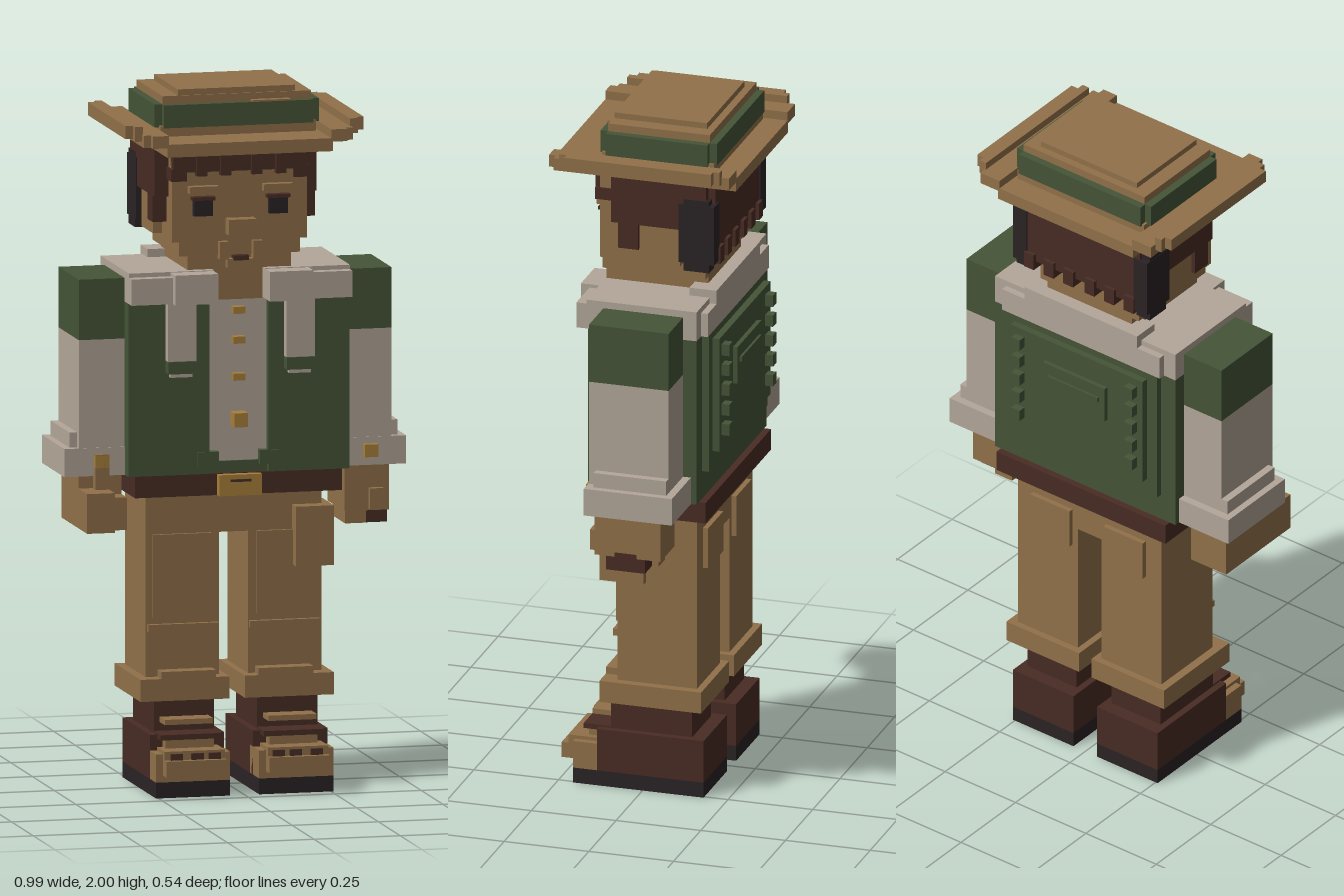
import * as THREE from 'three';

const mat = (name, color) => {
  const m = new THREE.MeshStandardMaterial({ color });
  m.name = name;
  return m;
};

export function createModel() {
  const tan = mat('tan', 0x91714a), green = mat('green', 0x455437), cream = mat('cream', 0xb3a799);
  const brown = mat('brown', 0x492c24), black = mat('black', 0x2a2325), gold = mat('gold', 0xa8803a);
  const root = new THREE.Group();
  root.name = 'figure';

  const part = (name) => {
    const g = new THREE.Group();
    g.name = name;
    root.add(g);
    return g;
  };
  // Block given by its limits on each axis
  const box = (g, name, m, x0, x1, y0, y1, z0, z1) => {
    const b = new THREE.Mesh(new THREE.BoxGeometry(x1 - x0, y1 - y0, z1 - z0), m);
    b.position.set((x0 + x1) / 2, (y0 + y1) / 2, (z0 + z1) / 2);
    b.name = name;
    g.add(b);
  };
  // Block centred on x
  const mid = (g, name, m, w, ...r) => box(g, name, m, -w, w, ...r);
  // Block and its mirror image
  const pair = (g, name, m, x0, x1, ...r) => {
    box(g, name + 'Left', m, x0, x1, ...r);
    box(g, name + 'Right', m, -x1, -x0, ...r);
  };

  // Boots
  const boots = part('boots');
  pair(boots, 'sole', black, 0.042, 0.257, 0, 0.045, -0.18, 0.205);
  pair(boots, 'boot', brown, 0.042, 0.257, 0.045, 0.17, -0.18, 0.135);
  pair(boots, 'shaft', brown, 0.062, 0.237, 0.17, 0.265, -0.14, 0.1);
  pair(boots, 'toe', tan, 0.042, 0.257, 0.045, 0.125, 0.1, 0.205);
  pair(boots, 'toeCap', tan, 0.062, 0.237, 0.065, 0.11, 0.205, 0.245);
  pair(boots, 'toeTop', tan, 0.062, 0.237, 0.105, 0.135, 0.12, 0.225);
  pair(boots, 'tongue', tan, 0.08, 0.22, 0.125, 0.17, 0.13, 0.17);
  pair(boots, 'tongueStrap', brown, 0.062, 0.237, 0.16, 0.175, 0.08, 0.18);
  pair(boots, 'lace', tan, 0.08, 0.22, 0.2, 0.215, 0.09, 0.16);
  for (const x of [0.075, 0.125, 0.185]) pair(boots, 'eyelet', brown, x, x + 0.035, 0.108, 0.128, 0.2, 0.23);

  // Trousers
  const trousers = part('trousers');
  pair(trousers, 'cuff', tan, 0.022, 0.28, 0.262, 0.325, -0.18, 0.12);
  pair(trousers, 'cuffTop', tan, 0.062, 0.22, 0.325, 0.345, 0.06, 0.12);
  pair(trousers, 'leg', tan, 0.042, 0.255, 0.32, 0.735, -0.16, 0.075);
  pair(trousers, 'kneePanel', tan, 0.065, 0.235, 0.495, 0.73, 0.07, 0.085);
  pair(trousers, 'kneeSeam', tan, 0.045, 0.25, 0.455, 0.475, 0.07, 0.09);
  mid(trousers, 'hips', tan, 0.255, 0.73, 0.85, -0.16, 0.075);
  box(trousers, 'sidePocket', tan, 0.17, 0.28, 0.63, 0.8, -0.01, 0.12);
  pair(trousers, 'backPocket', tan, 0.06, 0.2, 0.67, 0.79, -0.175, -0.15);
  const belt = part('belt');
  mid(belt, 'strap', brown, 0.3, 0.845, 0.907, -0.2, 0.135);
  mid(belt, 'buckle', gold, 0.062, 0.845, 0.905, 0.13, 0.16);
  mid(belt, 'buckleCentre', brown, 0.03, 0.885, 0.892, 0.158, 0.165);

  // Shirt and vest
  const torso = part('torso');
  mid(torso, 'shirt', cream, 0.3, 0.92, 1.4, -0.16, 0.12);
  pair(torso, 'vestFront', green, 0.085, 0.32, 0.907, 1.4, 0, 0.14);
  mid(torso, 'vestHem', green, 0.3, 0.907, 0.94, -0.1, 0.125);
  pair(torso, 'vestHemTrim', green, 0.06, 0.12, 0.93, 0.97, 0.12, 0.145);
  mid(torso, 'vestBack', green, 0.32, 0.907, 1.4, -0.18, 0);
  mid(torso, 'backPanel', green, 0.27, 0.99, 1.4, -0.2, -0.17);
  mid(torso, 'backInset', green, 0.235, 1.04, 1.38, -0.22, -0.19);
  mid(torso, 'backPatch', green, 0.11, 1.2, 1.31, -0.233, -0.21);
  mid(torso, 'backPatchFlap', green, 0.09, 1.26, 1.275, -0.24, -0.23);
  for (const y of [1.1, 1.16, 1.22, 1.28, 1.34]) pair(torso, 'stud', green, 0.185, 0.215, y - 0.017, y + 0.017, -0.243, -0.21);
  for (const y of [1.37, 1.285, 1.18]) mid(torso, 'button', gold, 0.017, y - 0.01, y + 0.01, 0.11, 0.145);
  mid(torso, 'lowButton', gold, 0.02, 1.04, 1.08, 0.11, 0.165);
  pair(torso, 'shoulder', cream, 0.075, 0.32, 1.4, 1.487, -0.18, 0.145);
  pair(torso, 'collar', cream, 0.075, 0.2, 1.4, 1.485, 0.13, 0.2);
  pair(torso, 'collarSide', cream, 0.2, 0.32, 1.4, 1.475, 0.13, 0.175);
  mid(torso, 'collarBack', cream, 0.2, 1.4, 1.51, -0.2, -0.12);
  pair(torso, 'collarBackSide', cream, 0.15, 0.28, 1.4, 1.47, -0.2, -0.13);
  pair(torso, 'strap', cream, 0.13, 0.213, 1.235, 1.41, 0.12, 0.168);
  pair(torso, 'strapTip', green, 0.13, 0.213, 1.2, 1.235, 0.12, 0.175);
  pair(torso, 'strapTrim', cream, 0.14, 0.203, 1.188, 1.2, 0.12, 0.16);

  // Arms
  const arms = part('arms');
  pair(arms, 'shoulderCap', green, 0.32, 0.453, 1.295, 1.467, -0.14, 0.095);
  pair(arms, 'sleeve', cream, 0.32, 0.453, 0.98, 1.295, -0.14, 0.095);
  pair(arms, 'sleeveFold', cream, 0.32, 0.475, 0.98, 1.03, -0.14, 0.075);
  pair(arms, 'cuff', cream, 0.32, 0.495, 0.907, 0.987, -0.163, 0.097);
  pair(arms, 'cuffButton', gold, 0.37, 0.41, 0.932, 0.968, 0.09, 0.117);

  // Hands: the left hangs open, the right grips forward
  const hands = part('hands');
  box(hands, 'leftPalm', tan, 0.32, 0.45, 0.775, 0.907, -0.115, 0.08);
  box(hands, 'leftFingers', tan, 0.33, 0.39, 0.735, 0.775, -0.09, 0.05);
  box(hands, 'leftThumb', tan, 0.39, 0.43, 0.78, 0.84, 0.08, 0.1);
  box(hands, 'leftGloveEdge', brown, 0.39, 0.453, 0.735, 0.775, -0.07, 0.045);
  box(hands, 'leftGloveTop', brown, 0.44, 0.453, 0.77, 0.788, -0.045, 0.02);
  box(hands, 'rightPalm', tan, -0.45, -0.325, 0.757, 0.907, -0.115, 0.08);
  box(hands, 'rightFingers', tan, -0.45, -0.37, 0.757, 0.87, 0.08, 0.18);
  box(hands, 'rightThumb', tan, -0.37, -0.325, 0.757, 0.85, 0.08, 0.14);
  box(hands, 'rightKnuckle', tan, -0.41, -0.37, 0.87, 0.97, 0.09, 0.117);

  // Head
  const head = part('head');
  mid(head, 'neck', tan, 0.12, 1.4, 1.5, -0.12, 0.1);
  mid(head, 'throat', tan, 0.07, 1.4, 1.49, 0.1, 0.13);
  mid(head, 'jaw', tan, 0.15, 1.49, 1.535, -0.16, 0.14);
  mid(head, 'cheeks', tan, 0.175, 1.53, 1.6, -0.16, 0.145);
  mid(head, 'skull', tan, 0.195, 1.57, 1.84, -0.16, 0.145);
  mid(head, 'nose', tan, 0.04, 1.59, 1.635, 0.14, 0.185);
  pair(head, 'mouthCorner', tan, 0.035, 0.062, 1.52, 1.57, 0.14, 0.165);
  mid(head, 'lip', tan, 0.04, 1.495, 1.52, 0.13, 0.165);
  mid(head, 'mouth', brown, 0.022, 1.516, 1.53, 0.14, 0.168);
  pair(head, 'eye', black, 0.082, 0.136, 1.645, 1.693, 0.14, 0.165);
  pair(head, 'eyeLid', brown, 0.075, 0.142, 1.69, 1.7, 0.14, 0.168);
  pair(head, 'brow', tan, 0.065, 0.15, 1.71, 1.73, 0.14, 0.17);
  pair(head, 'ear', tan, 0.19, 0.222, 1.58, 1.7, -0.1, 0.03);

  // Hair
  const hair = part('hair');
  mid(hair, 'crown', brown, 0.235, 1.73, 1.84, -0.18, 0.1);
  mid(hair, 'fringe', brown, 0.195, 1.77, 1.84, 0.1, 0.158);
  pair(hair, 'fringeSide', brown, 0.155, 0.2, 1.745, 1.78, 0.1, 0.158);
  for (const x of [0.03, 0.1]) pair(hair, 'lock', brown, x, x + 0.03, 1.76, 1.83, 0.15, 0.172);
  pair(hair, 'sideburn', brown, 0.19, 0.235, 1.62, 1.73, 0.02, 0.08);
  pair(hair, 'sideburnTop', brown, 0.19, 0.235, 1.695, 1.735, -0.1, 0.1);
  mid(hair, 'back', brown, 0.21, 1.615, 1.83, -0.2, -0.15);
  for (const x of [0.02, 0.09, 0.16]) pair(hair, 'backTuft', brown, x, x + 0.035, 1.59, 1.64, -0.21, -0.16);
  pair(hair, 'darkPatch', black, 0.19, 0.238, 1.6, 1.775, -0.205, -0.1);
  pair(hair, 'darkPatchCore', black, 0.19, 0.237, 1.575, 1.79, -0.19, -0.115);

  // Hat: brim rises in steps toward the sides
  const hat = part('hat');
  mid(hat, 'brim', tan, 0.24, 1.833, 1.87, -0.27, 0.268);
  pair(hat, 'brimStep', tan, 0.235, 0.282, 1.86, 1.895, -0.27, 0.268);
  pair(hat, 'brimEdge', tan, 0.28, 0.303, 1.86, 1.895, -0.27, 0.247);
  pair(hat, 'brimLip', tan, 0.3, 0.323, 1.875, 1.917, -0.248, 0.225);
  pair(hat, 'brimTip', tan, 0.32, 0.345, 1.88, 1.917, -0.23, 0.203);
  mid(hat, 'crownBase', tan, 0.225, 1.86, 1.9, -0.2, 0.13);
  mid(hat, 'band', green, 0.238, 1.895, 1.96, -0.185, 0.115);
  mid(hat, 'bandFront', green, 0.217, 1.895, 1.96, -0.207, 0.137);
  box(hat, 'bandKnot', tan, 0.04, 0.15, 1.955, 1.965, 0.1, 0.137);
  mid(hat, 'crown', tan, 0.215, 1.96, 1.983, -0.185, 0.115);
  mid(hat, 'crownTop', tan, 0.17, 1.98, 2, -0.163, 0.11);

  return root;
}
